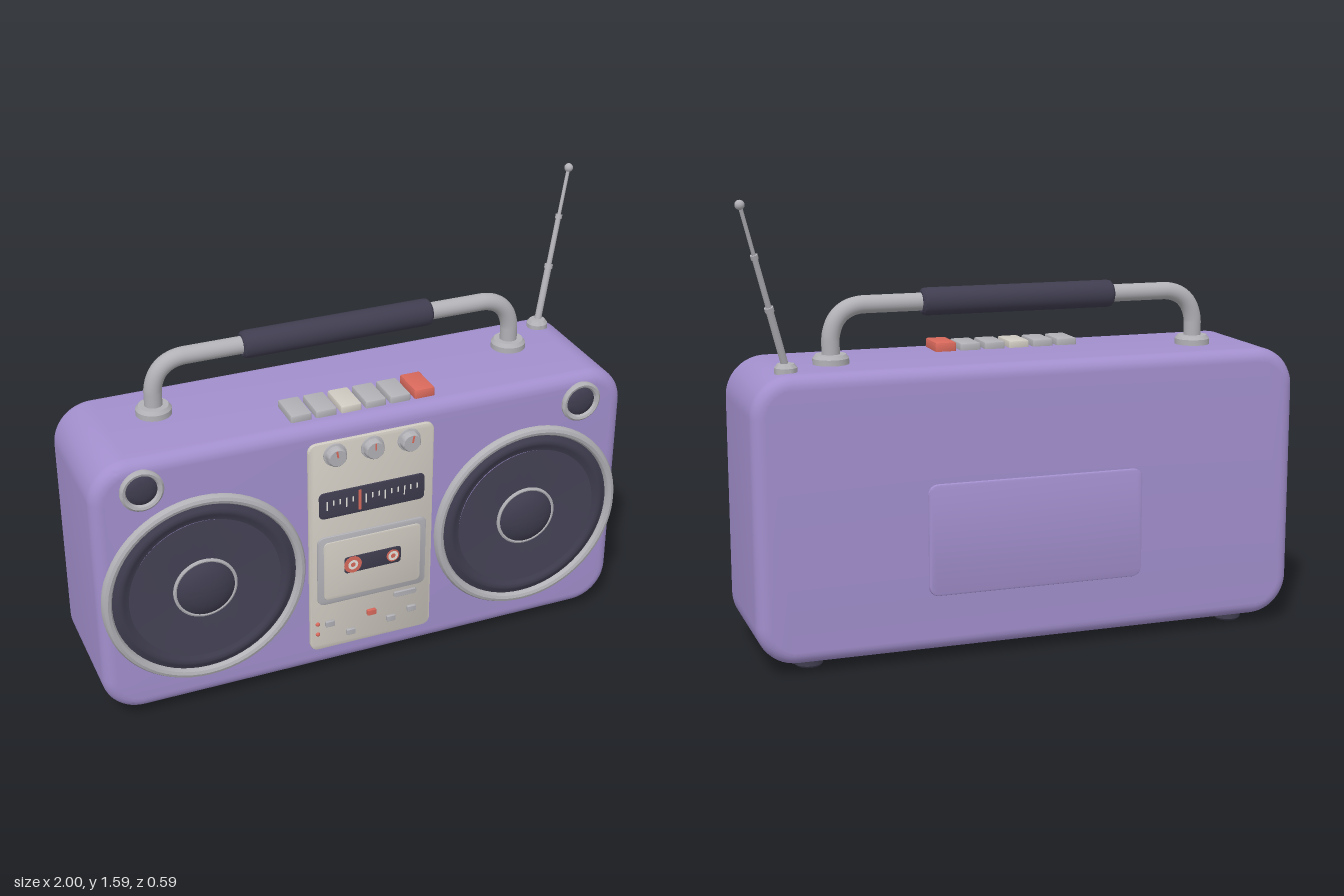
import * as THREE from 'three';
import { toCreasedNormals } from 'three/addons/utils/BufferGeometryUtils.js';

const mat = (name, color) => {
  const m = new THREE.MeshStandardMaterial({ color });
  m.name = name;
  return m;
};

export function createModel() {
  const purple = mat('purple shell', 0xa28fcd);
  const dark = mat('dark rubber', 0x3f3d4f);
  const cone = mat('speaker cone', 0x454356);
  const grey = mat('grey metal', 0xb1b1b6);
  const cream = mat('cream panel', 0xcfcac1);
  const red = mat('red accent', 0xd9695c);
  const white = mat('white marks', 0xe9e6df);

  const model = new THREE.Group();
  const radio = new THREE.Group();
  radio.name = 'radio';
  radio.position.x = -0.02;
  model.add(radio);

  const add = (name, geo, material, x = 0, y = 0, z = 0, parent = radio) => {
    const m = new THREE.Mesh(geo, material);
    m.name = name;
    m.position.set(x, y, z);
    parent.add(m);
    return m;
  };

  // Rounded rectangle slab facing +z, its back face on z = 0
  const slab = (w, h, r, depth, bevel, segs = 2) => {
    const s = new THREE.Shape();
    const a = w / 2, b = h / 2;
    s.moveTo(a, -b + r);
    s.lineTo(a, b - r);
    s.absarc(a - r, b - r, r, 0, Math.PI / 2);
    s.lineTo(-a + r, b);
    s.absarc(-a + r, b - r, r, Math.PI / 2, Math.PI);
    s.lineTo(-a, -b + r);
    s.absarc(-a + r, -b + r, r, Math.PI, Math.PI * 1.5);
    s.lineTo(a - r, -b);
    s.absarc(a - r, -b + r, r, Math.PI * 1.5, Math.PI * 2);
    const g = new THREE.ExtrudeGeometry(s, {
      depth: depth - 2 * bevel, curveSegments: 8, bevelEnabled: bevel > 0,
      bevelThickness: bevel, bevelSize: bevel, bevelOffset: -bevel, bevelSegments: segs,
    });
    g.translate(0, 0, bevel);
    return toCreasedNormals(g, 0.6);
  };

  // Turned part from [radius, height] points; toFront turns its axis to +z
  const turned = (pts, toFront, segs = 48) => {
    const g = new THREE.LatheGeometry(pts.map(p => new THREE.Vector2(...p)), segs);
    if (toFront) g.rotateX(Math.PI / 2);
    return toCreasedNormals(g, 0.6);
  };

  // Shell and battery cover
  add('body', slab(1.96, 0.983, 0.14, 0.505, 0.045, 6), purple, 0, 0.5265, -0.256);
  add('batteryCover', slab(0.78, 0.39, 0.035, 0.03, 0.006), purple, 0, 0.427, -0.266);

  // Feet
  for (const x of [-0.787, 0.787]) for (const z of [0.134, -0.143])
    add('foot', turned([[0, 0], [0.042, 0], [0.05, 0.008], [0.05, 0.05]], false, 24), dark, x, 0, z);

  // Woofers and tweeters
  for (const x of [-0.608, 0.608]) {
    const woofer = new THREE.Group();
    woofer.name = 'woofer';
    woofer.position.set(x, 0.487, 0.245);
    radio.add(woofer);
    add('rim', turned([[0.362, 0], [0.362, 0.015], [0.356, 0.024], [0.345, 0.028],
      [0.334, 0.024], [0.328, 0.015], [0.328, 0.004]], true, 64), grey, 0, 0, 0, woofer);
    add('surround', turned([[0.33, 0.008], [0.318, 0.012], [0.31, 0.018], [0.3, 0.021],
      [0.288, 0.018], [0.278, 0.01], [0.265, 0.007]], true, 64), dark, 0, 0, 0, woofer);
    add('cone', turned([[0.27, 0.016], [0.262, 0.016], [0.1, 0.007]], true, 64), cone, 0, 0, 0, woofer);
    add('capRing', turned([[0.114, 0.006], [0.114, 0.014], [0.108, 0.017], [0.102, 0.014]], true),
      grey, 0, 0, 0, woofer);
    add('dustCap', turned([[0.106, 0.006], [0.103, 0.016], [0.085, 0.029], [0.06, 0.039],
      [0.03, 0.045], [0, 0.047]], true), dark, 0, 0, 0, woofer);

    const tx = Math.sign(x) * 0.806;
    add('tweeterRim', turned([[0.075, 0], [0.075, 0.012], [0.067, 0.019], [0.058, 0.016],
      [0.052, 0.004]], true), grey, tx, 0.914, 0.245);
    add('tweeterDome', turned([[0.055, 0.005], [0.05, 0.01], [0.03, 0.016], [0, 0.019]], true),
      dark, tx, 0.914, 0.245);
  }

  // Control panel
  add('controlPanel', slab(0.463, 0.839, 0.03, 0.025, 0.005), cream, 0, 0.5375, 0.238);
  const front = 0.263;

  // Knobs with pointers
  for (const [i, x] of [-0.137, 0, 0.135].entries()) {
    const knob = new THREE.Group();
    knob.name = 'knob';
    knob.position.set(x, 0.909, front - 0.003);
    knob.rotation.z = [0.15, 0, -0.2][i];
    radio.add(knob);
    add('knobBody', turned([[0.042, 0], [0.042, 0.008], [0.036, 0.01], [0.034, 0.03],
      [0.03, 0.035], [0, 0.035]], true, 28), grey, 0, 0, 0, knob);
    add('pointer', new THREE.BoxGeometry(0.006, 0.025, 0.003), red, 0, 0.016, 0.0355, knob);
  }

  // Tuner scale
  add('tunerWindow', slab(0.393, 0.102, 0.018, 0.01, 0.002), dark, 0, 0.714, front - 0.005);
  for (let i = 0; i < 15; i++) {
    const h = i % 3 ? 0.02 : 0.036;
    add('tunerTick', new THREE.BoxGeometry(0.005, h, 0.002), white, -0.168 + i * 0.024, 0.732 - h / 2, front + 0.005);
  }
  add('tunerNeedle', new THREE.BoxGeometry(0.009, 0.078, 0.003), red, -0.047, 0.714, front + 0.0065);

  // Cassette door
  add('doorFrame', slab(0.41, 0.278, 0.025, 0.012, 0.003), grey, 0, 0.449, front - 0.004);
  add('doorPanel', slab(0.366, 0.236, 0.018, 0.01, 0.002), cream, 0, 0.449, front + 0.001);
  add('cassetteWindow', slab(0.214, 0.066, 0.012, 0.006, 0.001), dark, 0, 0.46, front + 0.0075);
  for (const [x, r] of [[-0.076, 0.033], [0.076, 0.024]]) {
    add('reelTape', turned([[r, 0], [r, 0.002], [0, 0.002]], true, 24), red, x, 0.46, front + 0.0135);
    add('reelHub', new THREE.RingGeometry(0.009, 0.019, 20), white, x, 0.46, front + 0.0165);
  }

  // Small front buttons and lamps
  add('modeSwitch', slab(0.086, 0.02, 0.005, 0.012, 0.002), grey, 0.13, 0.283, front - 0.003);
  for (const [x, y, m] of [[-0.16, 0.225, grey], [0, 0.233, red], [0.156, 0.209, grey],
    [-0.08, 0.17, grey], [0.076, 0.187, grey]])
    add('smallButton', slab(0.034, 0.022, 0.004, 0.014, 0.002), m, x, y, front - 0.003);
  for (const y of [0.23, 0.187])
    add('lamp', new THREE.SphereGeometry(0.008, 12, 8), red, -0.205, y, front);

  // Top keys
  for (let i = 0; i < 6; i++) {
    const h = i === 5 ? 0.05 : 0.043;
    const key = add('topKey', slab(0.075, 0.132, 0.007, h, 0.006), [grey, grey, cream, grey, grey, red][i],
      -0.227 + i * 0.0905, 1.0, 0.126);
    key.rotation.x = -Math.PI / 2;
  }

  // Carrying handle
  const hx = 0.667, hz = -0.053, top = 1.214, bend = 0.11;
  const V = (x, y) => new THREE.Vector3(x, y, hz);
  const path = new THREE.CurvePath();
  path.add(new THREE.LineCurve3(V(-hx, 1.0), V(-hx, top - bend)));
  path.add(new THREE.QuadraticBezierCurve3(V(-hx, top - bend), V(-hx + 0.012, top - 0.008), V(-hx + bend, top)));
  path.add(new THREE.LineCurve3(V(-hx + bend, top), V(hx - bend, top)));
  path.add(new THREE.QuadraticBezierCurve3(V(hx - bend, top), V(hx - 0.012, top - 0.008), V(hx, top - bend)));
  path.add(new THREE.LineCurve3(V(hx, top - bend), V(hx, 1.0)));
  add('handleBar', new THREE.TubeGeometry(path, 120, 0.031, 20), grey);
  const grip = add('handleGrip', turned([[0, -0.35], [0.038, -0.35], [0.046, -0.342], [0.048, -0.33],
    [0.048, 0.33], [0.046, 0.342], [0.038, 0.35], [0, 0.35]], false, 28), dark, 0, top, hz);
  grip.rotation.z = Math.PI / 2;
  for (const x of [-hx, hx])
    add('handleFlange', turned([[0.062, 0], [0.062, 0.025], [0.052, 0.038], [0, 0.038]], false, 32), grey, x, 1.013, hz);

  // Telescopic antenna
  add('antennaBase', turned([[0.038, 0], [0.038, 0.02], [0.028, 0.033], [0, 0.036]], false, 28), grey, 0.844, 1.013, -0.164);
  const antenna = new THREE.Group();
  antenna.name = 'antenna';
  antenna.position.set(0.844, 1.03, -0.164);
  const dir = new THREE.Vector3(0.157, 0.545, -0.114);
  const len = dir.length();
  antenna.quaternion.setFromUnitVectors(new THREE.Vector3(0, 1, 0), dir.normalize());
  radio.add(antenna);
  for (const [a, b, r] of [[0, 0.37, 0.0125], [0.37, 0.69, 0.0095], [0.69, 1, 0.0065]]) {
    add('antennaSection', new THREE.CylinderGeometry(r, r, (b - a) * len, 14), grey, 0, (a + b) / 2 * len, 0, antenna);
    if (b < 1) add('antennaCollar', new THREE.CylinderGeometry(r + 0.003, r + 0.003, 0.016, 14), grey, 0, b * len, 0, antenna);
  }
  add('antennaTip', new THREE.SphereGeometry(0.016, 16, 12), grey, 0, len, 0, antenna);

  return model;
}
